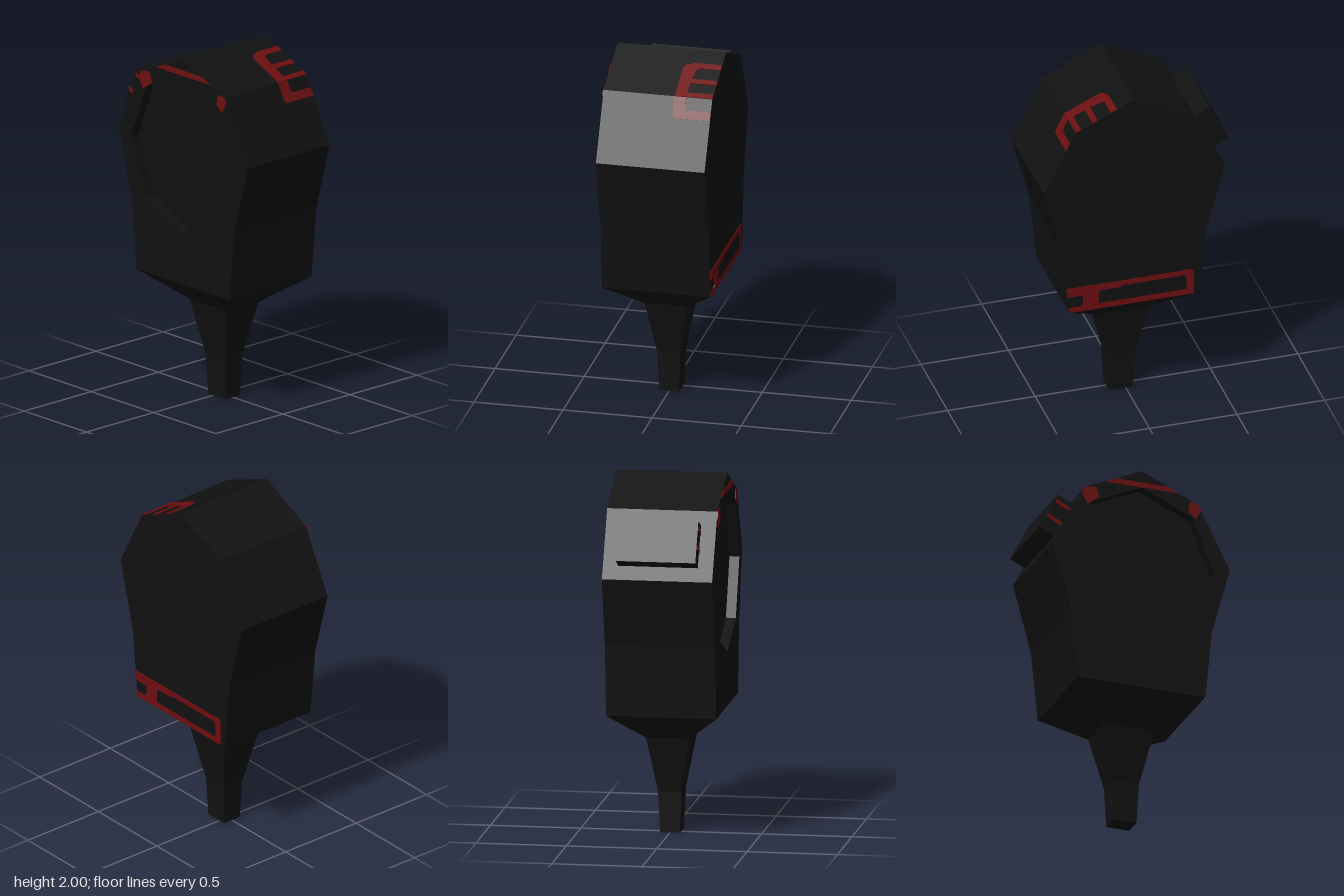
import * as THREE from 'three';

const HALF = 0.305;   // half width of the head
const RECESS = 0.055; // depth of the hollow in the right side

const black = new THREE.MeshStandardMaterial({ color: 0x111111 });
black.name = 'matt black';
const red = new THREE.MeshStandardMaterial({ color: 0x6e0f11 });
red.name = 'dark red';

const toShape = (pts) => new THREE.Shape(pts.map(([a, b]) => new THREE.Vector2(a, b)));

// Side profile given as [z, y], extruded along x from x0 to x1
function sideSlab(pts, x0, x1, holes = []) {
  const flip = (list) => list.map(([z, y]) => [-z, y]);
  const shape = toShape(flip(pts));
  holes.forEach((h) => shape.holes.push(toShape(flip(h))));
  const g = new THREE.ExtrudeGeometry(shape, { depth: x1 - x0, bevelEnabled: false });
  g.rotateY(Math.PI / 2);
  g.translate(x0, 0, 0);
  return g;
}

// Thin plate given as [x, z], laid on the sloping face between two [z, y] points
function slopePlate(pts, low, high) {
  const up = new THREE.Vector3(0, high[1] - low[1], high[0] - low[0]).normalize();
  const right = new THREE.Vector3(1, 0, 0);
  const out = new THREE.Vector3().crossVectors(right, up);
  const g = new THREE.ExtrudeGeometry(
    toShape(pts.map(([x, z]) => [x, (z - low[0]) / up.z])),
    { depth: 0.004, bevelEnabled: false });
  g.applyMatrix4(new THREE.Matrix4().makeBasis(right, up, out).setPosition(0, low[1], low[0]));
  return g;
}

// Rectangular cross-sections [y, halfX, zBack, zFront], joined from top to bottom
function taper(sections) {
  const pos = [];
  const idx = [];
  sections.forEach(([y, hx, zb, zf]) =>
    pos.push(-hx, y, zf, hx, y, zf, hx, y, zb, -hx, y, zb));
  for (let s = 0; s < sections.length - 1; s++) {
    for (let i = 0; i < 4; i++) {
      const a = s * 4 + i, b = s * 4 + (i + 1) % 4;
      idx.push(a, a + 4, b, b, a + 4, b + 4);
    }
  }
  const e = (sections.length - 1) * 4;
  idx.push(e, e + 3, e + 2, e, e + 2, e + 1);
  const g = new THREE.BufferGeometry();
  g.setAttribute('position', new THREE.Float32BufferAttribute(pos, 3));
  g.setIndex(idx);
  const flat = g.toNonIndexed();
  flat.computeVertexNormals();
  return flat;
}

export function createModel() {
  const model = new THREE.Group();
  model.name = 'handheldDevice';
  const add = (name, geometry, material) => {
    const mesh = new THREE.Mesh(geometry, material);
    mesh.name = name;
    model.add(mesh);
  };

  // Faceted head
  const profile = [
    [0.03, 2.0], [0.36, 1.85], [0.545, 1.49], [0.44, 1.1], [0.4, 0.7],
    [-0.345, 0.7], [-0.385, 1.1], [-0.49, 1.49], [-0.305, 1.85],
  ];
  add('head', sideSlab(profile, -HALF + RECESS, HALF), black);

  // Rim around the eight-sided hollow
  const opening = [];
  for (let i = 0; i < 8; i++) {
    const t = (i * Math.PI) / 4;
    opening.push([0.03 + 0.42 * Math.sin(t), 1.45 + 0.45 * Math.cos(t)]);
  }
  add('hollowRim', sideSlab(profile, -HALF, -HALF + RECESS, [opening]), black);

  // Tapered neck and stem
  add('stem', taper([
    [0.7, HALF, -0.345, 0.4],
    [0.54, 0.12, -0.12, 0.175],
    [0.23, 0.065, -0.05, 0.105],
    [0, 0.055, -0.04, 0.095],
  ]), black);

  // Block on the back
  add('backBlock', sideSlab(
    [[-0.43, 1.82], [-0.54, 1.605], [-0.42, 1.544], [-0.31, 1.76]], -0.22, 0.22), black);

  // Red bars on the block's right end
  [[-0.4, 1.756], [-0.455, 1.665]].forEach(([z, y]) => add('blockBar', sideSlab([
    [z + 0.045, y - 0.035], [z + 0.045, y - 0.01], [z - 0.04, y + 0.035], [z - 0.04, y + 0.01],
  ], -0.224, -0.22), red));

  // Red outline marking across the two upper front faces
  add('upperMarking', slopePlate([
    [0.305, 0.125], [0.15, 0.125], [0.135, 0.135], [0.11, 0.14], [0.095, 0.16],
    [0.095, 0.36], [0.305, 0.36], [0.305, 0.33], [0.16, 0.33], [0.16, 0.265],
    [0.305, 0.265], [0.305, 0.235], [0.16, 0.235], [0.175, 0.17], [0.19, 0.16], [0.305, 0.16],
  ], [0.36, 1.85], [0.03, 2.0]), red);
  add('lowerMarking', slopePlate([
    [0.095, 0.36], [0.095, 0.405], [0.105, 0.415], [0.305, 0.415],
    [0.305, 0.393], [0.17, 0.393], [0.16, 0.385], [0.16, 0.36],
  ], [0.545, 1.49], [0.36, 1.85]), red);

  // Red frame on the left side, with one closed and one open window
  add('sideFrame', sideSlab([
    [0.415, 0.855], [-0.3, 0.855], [-0.312, 0.84], [-0.312, 0.7], [0.4, 0.7],
    [0.403, 0.73], [0.335, 0.73], [0.32, 0.745], [0.32, 0.79], [0.335, 0.8], [0.41, 0.8],
  ], HALF, HALF + 0.004, [[
    [0.23, 0.735], [0.23, 0.805], [0.22, 0.815], [0.105, 0.815], [0.1, 0.825],
    [-0.26, 0.825], [-0.27, 0.81], [-0.27, 0.745], [-0.26, 0.735],
  ]]), red);

  // Red band and corner marks above the hollow
  add('rimBand', sideSlab(
    [[0.245, 1.9], [0.18, 1.93], [-0.12, 1.93], [-0.185, 1.9]], -HALF - 0.004, -HALF), red);
  add('rimMarkFront', sideSlab(
    [[0.36, 1.85], [0.375, 1.82], [0.345, 1.76], [0.3, 1.8], [0.31, 1.86]],
    -HALF - 0.004, -HALF), red);
  add('rimMarkBack', sideSlab(
    [[-0.305, 1.85], [-0.325, 1.81], [-0.29, 1.75], [-0.22, 1.8], [-0.24, 1.86]],
    -HALF - 0.004, -HALF), red);

  return model;
}
